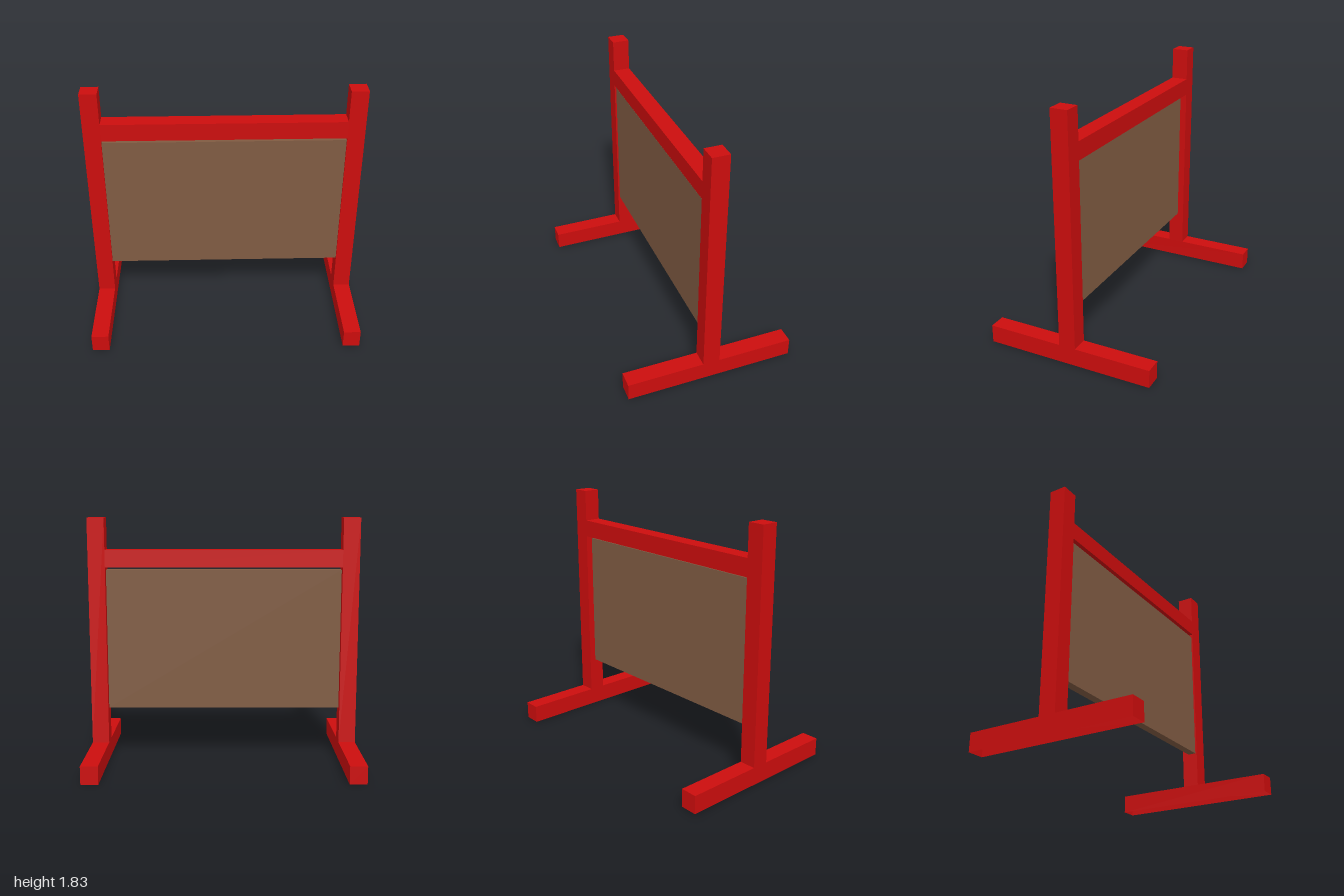
import * as THREE from 'three';

const red = new THREE.MeshStandardMaterial({ color: 0xcc0d0d, side: THREE.DoubleSide });
red.name = 'red paint';
const brown = new THREE.MeshStandardMaterial({ color: 0x805b42 });
brown.name = 'brown board';

// Box given by its lower and upper corners
function box(name, material, min, max) {
  const size = max.map((v, i) => v - min[i]);
  const mesh = new THREE.Mesh(new THREE.BoxGeometry(...size), material);
  mesh.position.set(...max.map((v, i) => (v + min[i]) / 2));
  mesh.name = name;
  return mesh;
}

// Remove the underside, leaving a hollow box open at the bottom
function openBottom(mesh) {
  const index = Array.from(mesh.geometry.index.array);
  index.splice(18, 6);
  mesh.geometry.setIndex(index);
  mesh.geometry.clearGroups();
  return mesh;
}

export function createModel() {
  const model = new THREE.Group();
  model.name = 'boardStand';

  const inner = 0.875, half = 0.0625, footTop = 0.133;

  // Mirrored uprights on long hollow feet
  for (const [side, x0, x1] of [['left', inner, 1], ['right', -1, -inner]]) {
    model.add(openBottom(box(side + 'Foot', red, [x0, 0, -0.625], [x1, footTop, 0.625])));
    model.add(openBottom(box(side + 'Post', red, [x0, footTop, -half], [x1, 1.83, half])));
  }

  // Rail between the posts
  model.add(box('topRail', red, [-inner, 1.466, -half], [inner, 1.595, half]));

  // Board set just behind the front of the posts
  model.add(box('board', brown, [-inner, 0.395, -0.013], [inner, 1.445, 0.05]));

  return model;
}
